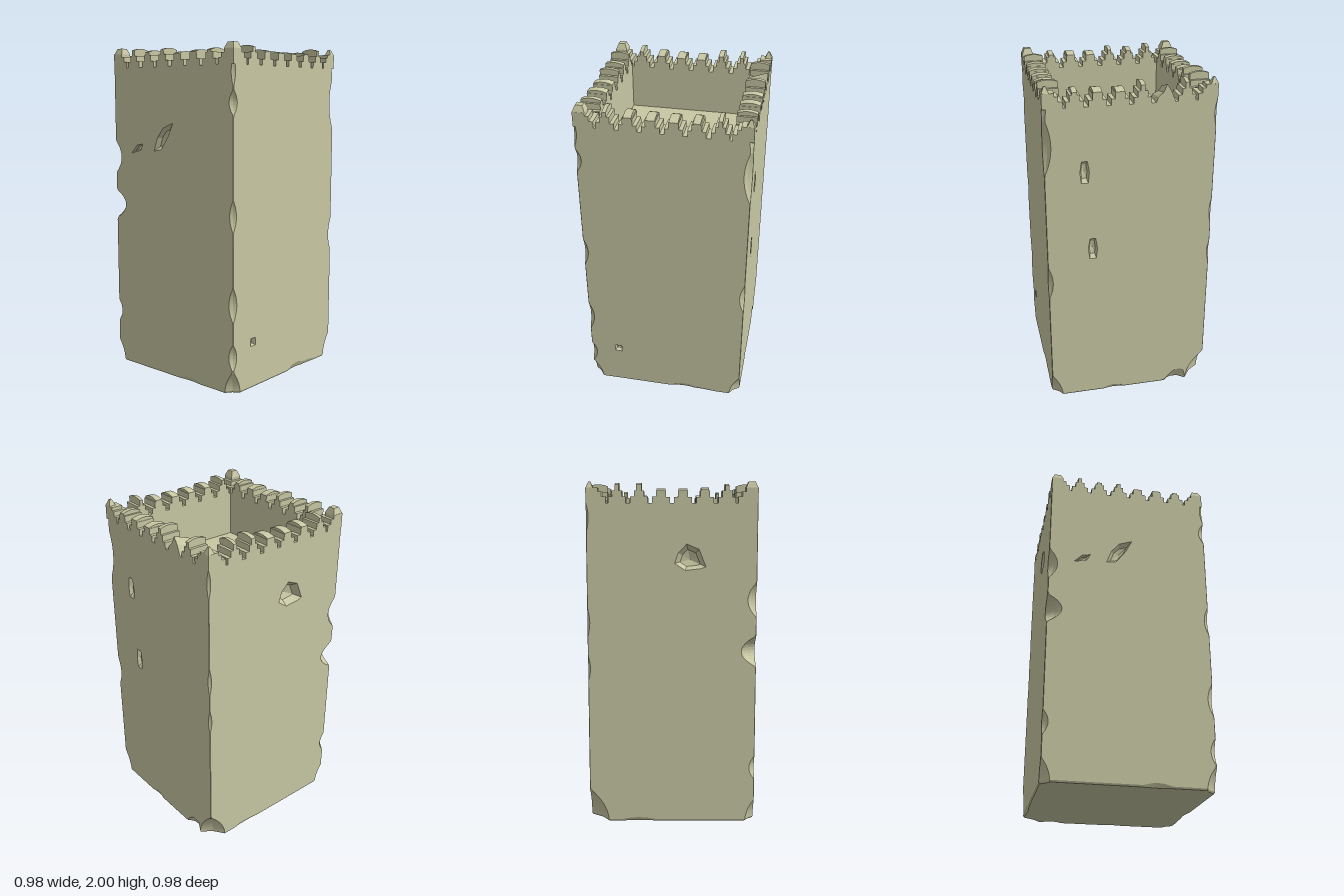
import * as THREE from 'three';
import { mergeGeometries } from 'three/addons/utils/BufferGeometryUtils.js';

const H = 0.49, IN = 0.376, TOP = 1.88, FLOOR = 1.61, BASE = 0.01;

// Corner k sits at the right end of side k (0 front, 1 right, 2 back, 3 left): [y, half height, depth]
const cornerWear = [
  [[0, 0.15, 0.06], [0.82, 0.1, 0.025], [1.67, 0.17, 0.04], [1.88, 0.07, 0.02]],
  [[0, 0.2, 0.11], [0.93, 0.07, 0.012], [1.2, 0.08, 0.012], [1.8, 0.08, 0.012]],
  [[0, 0.13, 0.05], [0.33, 0.07, 0.03], [1.03, 0.09, 0.085], [1.33, 0.1, 0.05]],
  [[0, 0.14, 0.06], [0.22, 0.08, 0.03], [0.53, 0.1, 0.03], [1.04, 0.09, 0.025], [1.67, 0.07, 0.03], [1.84, 0.08, 0.015]],
];
// Chips along the foot of each side: [u, half width, height]
const footWear = [
  [[0.12, 0.08, 0.025], [0.23, 0.1, 0.012]],
  [[-0.1, 0.06, 0.018], [0.33, 0.09, 0.07]],
  [[-0.2, 0.1, 0.012]],
  [[0.15, 0.08, 0.015]],
];
// Pits in the walls: centre, depth and outline
const slit = [[-0.02, -0.065], [0.02, -0.065], [0.027, 0], [0.017, 0.065], [-0.017, 0.065], [-0.027, 0]];
const pits = [
  [{ u: -0.31, y: 0.278, d: 0.03, pts: [[-0.023, -0.023], [0.023, -0.023], [0.023, 0.023], [-0.023, 0.023]] }],
  [{ u: -0.265, y: 1.505, d: 0.03, pts: slit }, { u: -0.223, y: 1.025, d: 0.03, pts: slit }],
  [{ u: 0.105, y: 1.56, d: 0.06, pts: [[-0.06, -0.05], [0.03, -0.06], [0.09, -0.02], [0.07, 0.04], [0.02, 0.09], [-0.05, 0.06], [-0.09, -0.04]].map(([a, b]) => [-a, b]).reverse() }],
  [{ u: -0.06, y: 1.46, d: 0.035, pts: [[-0.08, -0.08], [-0.02, -0.07], [0.04, 0.01], [0.08, 0.09], [0, 0.06], [-0.05, 0]] },
   { u: -0.29, y: 1.39, d: 0.02, pts: [[-0.05, -0.03], [0.03, -0.01], [0.05, 0.03], [0, 0.02]] }],
];
// Crest [height, width] of the six merlons on each side
const crests = [
  [[0.11, 0.022], [0.09, 0.045], [0.085, 0.05], [0.085, 0.05], [0.09, 0.04], [0.115, 0.022]],
  [[0.095, 0.03], [0.09, 0.05], [0.085, 0.05], [0.115, 0.025], [0.115, 0.03], [0.115, 0.022]],
  [[0.115, 0.022], [0.115, 0.03], [0.085, 0.05], [0.085, 0.05], [0.09, 0.045], [0.11, 0.022]],
  [[0.115, 0.022], [0.1, 0.03], [0.11, 0.022], [0.085, 0.05], [0.09, 0.05], [0.095, 0.03]],
];

const bumps = (list, t) => list.reduce((s, [c, r, d]) => s + d * Math.max(0, 1 - ((t - c) / r) ** 2), 0);
const chamfer = (k, y) => 0.002 + bumps(cornerWear[(k + 4) % 4], y);
const foot = (k, u) => BASE + bumps(footWear[k], u);
const turn = (geo, k) => geo.rotateY(k * Math.PI / 2);
const spin = (x, y, z, k) => new THREE.Vector3(x, y, z).applyAxisAngle(new THREE.Vector3(0, 1, 0), k * Math.PI / 2);

// Surface through rows of points; columns run right and rows run up when seen from outside
function strip(rows) {
  const pos = [], idx = [], n = rows[0].length;
  rows.forEach(r => r.forEach(p => pos.push(p.x, p.y, p.z)));
  for (let i = 0; i < rows.length - 1; i++) for (let j = 0; j < n - 1; j++) {
    const a = i * n + j, d = a + n;
    idx.push(a, a + 1, d + 1, a, d + 1, d);
  }
  const g = new THREE.BufferGeometry();
  g.setAttribute('position', new THREE.Float32BufferAttribute(pos, 3));
  g.setIndex(idx);
  g.computeVertexNormals();
  return g;
}
const samples = (a, b, n) => Array.from({ length: n + 1 }, (_, i) => a + (b - a) * i / n);
const ys = samples(BASE, TOP, 110);

// The three points across a worn corner at height y
function cornerRow(k, y) {
  const c = chamfer(k, y), m = H - c * 0.58;
  return [spin(H - c, y, H, k), spin(m, y, m, k), spin(H, y, H - c, k)];
}

// Bottom edge of a side, in u and y
function footLine(k) {
  return samples(-H + chamfer(k - 1, BASE), H - chamfer(k, BASE), 48)
    .map((u, i) => new THREE.Vector2(u, i % 48 ? foot(k, u) : BASE));
}

// Flat wall with worn outline and openings for its pits
function wall(k) {
  const outline = [...footLine(k),
    ...ys.slice(1).map(y => new THREE.Vector2(H - chamfer(k, y), y)),
    ...ys.slice(1).reverse().map(y => new THREE.Vector2(-H + chamfer(k - 1, y), y))];
  const shape = new THREE.Shape(outline);
  for (const p of pits[k]) shape.holes.push(new THREE.Path(p.pts.map(([a, b]) => new THREE.Vector2(p.u + a, p.y + b))));
  return turn(new THREE.ShapeGeometry(shape).translate(0, 0, H), k);
}

function pit(k, p) {
  const ring = (s, z) => [...p.pts, p.pts[0]].map(([a, b]) => new THREE.Vector3(p.u + a * s, p.y + b * s, z));
  return turn(strip([ring(1, H), ring(0.65, H - p.d * 0.75), ring(0.001, H - p.d)]), k);
}

// Stepped merlon with a rounded crest, centred on u = 0
function merlon(height, width) {
  const depth = H - IN, s = new THREE.Shape();
  [[-0.05, 0], [0.05, 0], [0.05, 0.035], [0.028, 0.035], [0.028, 0.07], [-0.028, 0.07], [-0.028, 0.035], [-0.05, 0.035]]
    .forEach(([x, y], i) => i ? s.lineTo(x, y) : s.moveTo(x, y));
  const body = new THREE.ExtrudeGeometry(s, { depth, bevelEnabled: false });
  const c = new THREE.Shape();
  c.moveTo(0, 0.068);
  c.lineTo(depth, 0.068);
  c.lineTo(depth, height - 0.012);
  c.quadraticCurveTo(depth / 2, height + 0.012, 0, height - 0.012);
  const crest = new THREE.ExtrudeGeometry(c, { depth: width, bevelEnabled: false, curveSegments: 6 })
    .rotateY(-Math.PI / 2).translate(width / 2, 0, 0);
  return mergeGeometries([body, crest]).translate(0, TOP, IN);
}

// Merlon broken down to a sloping stump
function brokenMerlon() {
  const s = new THREE.Shape([[-0.05, 0], [0.06, 0], [0.035, 0.06], [0.01, 0.1], [-0.01, 0.055], [-0.04, 0.03]]
    .map(([x, y]) => new THREE.Vector2(x, y)));
  const g = new THREE.ExtrudeGeometry(s, { depth: H - IN, bevelEnabled: false });
  const p = g.attributes.position;
  for (let i = 0; i < p.count; i++) if (p.getZ(i) < 0.05) p.setY(i, p.getY(i) * 0.6);
  return g.translate(0, TOP, IN);
}

// Corner turret: square steps flush with both outer walls
function cornerBlock(k) {
  const step = (size, y0, y1) => new THREE.BoxGeometry(size, y1 - y0, size)
    .translate(H - size / 2, TOP + (y0 + y1) / 2, H - size / 2);
  const parts = [step(0.114, 0, 0.037), step(0.09, 0.037, 0.065), step(0.07, 0.065, 0.085)];
  const right = k < 2, r = right ? 0.03 : 0.05;
  parts.push(new THREE.CylinderGeometry(right ? 0.008 : 0.028, r * 0.98, 0.035, 4)
    .rotateY(Math.PI / 4).translate(H - r * 0.72, TOP + 0.1025, H - r * 0.72));
  return turn(mergeGeometries(parts), k);
}

export function createModel() {
  const model = new THREE.Group();
  const stone = new THREE.MeshStandardMaterial({ color: 0xc8c8a4, flatShading: true, side: THREE.DoubleSide });
  const add = (name, geo) => {
    const m = new THREE.Mesh(geo, stone);
    m.name = name;
    model.add(m);
  };
  const footLoop = [];
  for (let k = 0; k < 4; k++) {
    add('wall', wall(k));
    pits[k].forEach(p => add('wallPit', pit(k, p)));
    add('wornCorner', strip(ys.map(y => cornerRow(k, y))));
    footLine(k).forEach(p => footLoop.push(spin(p.x, p.y, H, k)));
    footLoop.push(cornerRow(k, BASE)[1]);
    crests[k].forEach(([h, w], i) => {
      const broken = k === 1 && i === 4;
      const g = broken ? brokenMerlon() : merlon(h, w);
      add(broken ? 'brokenMerlon' : 'merlon', turn(g.translate(-0.3125 + i * 0.125, 0, 0), k));
    });
    add('cornerTurret', cornerBlock(k));
  }

  // Chipped foot edge and underside
  const under = footLoop.map(p => new THREE.Vector3(p.x * (1 - p.y), 0, p.z * (1 - p.y)));
  add('footEdge', strip([[...under, under[0]], [...footLoop, footLoop[0]]]));
  add('underside', new THREE.ShapeGeometry(new THREE.Shape(under.map(p => new THREE.Vector2(p.x, p.z)))).rotateX(Math.PI / 2));

  // Rim, inner walls and roof floor
  const rim = new THREE.Shape([0, 1, 2, 3].flatMap(k => cornerRow(k, TOP)).map(p => new THREE.Vector2(p.x, -p.z)));
  const square = [[-IN, -IN], [IN, -IN], [IN, IN], [-IN, IN]];
  rim.holes.push(new THREE.Path(square.map(([x, y]) => new THREE.Vector2(x, y))));
  add('rim', new THREE.ShapeGeometry(rim).rotateX(-Math.PI / 2).translate(0, TOP, 0));
  for (let k = 0; k < 4; k++)
    add('innerWall', turn(new THREE.PlaneGeometry(2 * IN, TOP - FLOOR).translate(0, (TOP + FLOOR) / 2, -IN), k));
  add('roofFloor', new THREE.PlaneGeometry(2 * IN, 2 * IN).rotateX(-Math.PI / 2).translate(0, FLOOR, 0));
  return model;
}
